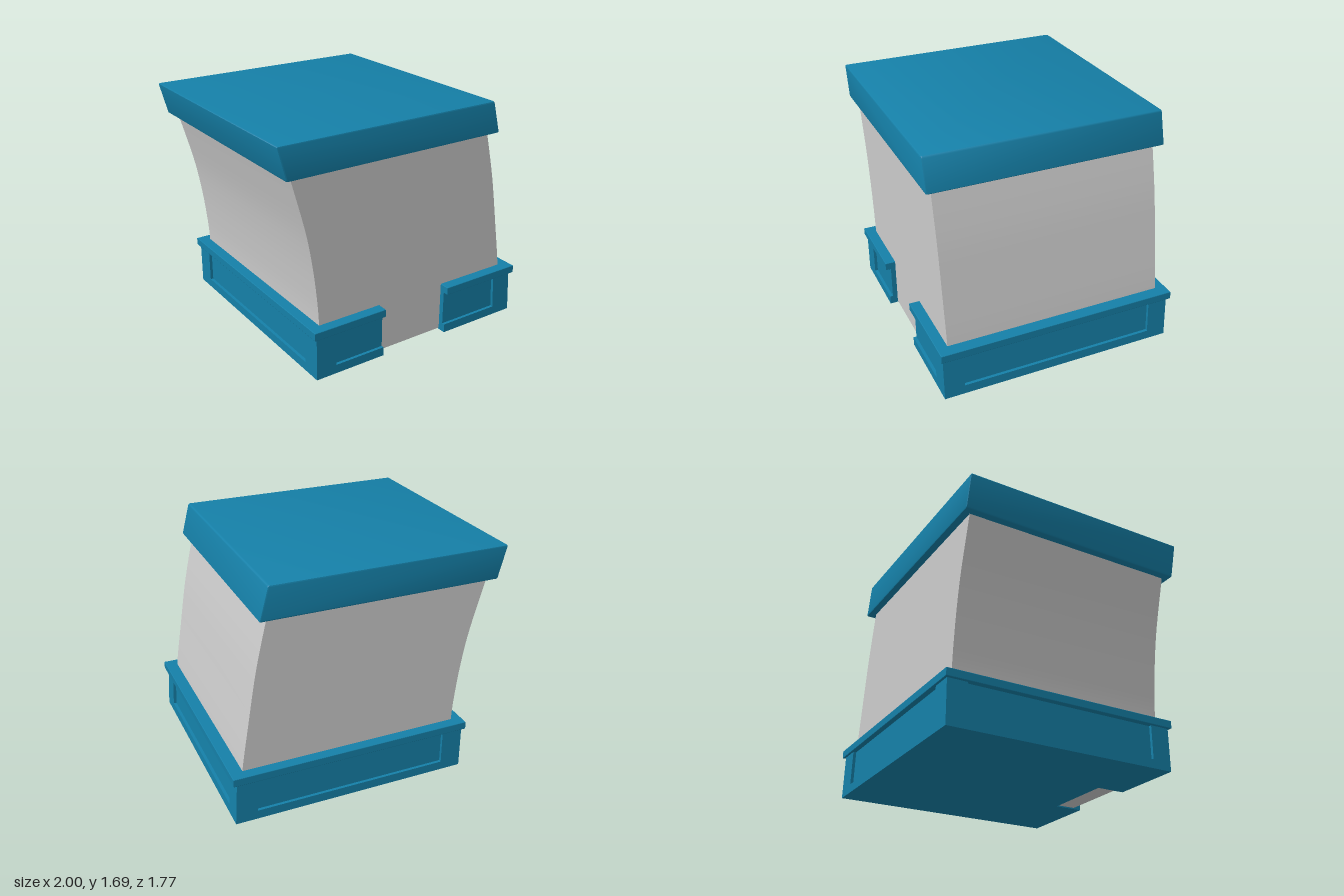
import * as THREE from 'three';
import { toCreasedNormals } from 'three/addons/utils/BufferGeometryUtils.js';

const blue = new THREE.MeshStandardMaterial({ color: 0x1580a8 });
const grey = new THREE.MeshStandardMaterial({ color: 0xcccccc });

// Plan of the base: a rectangle with a doorway notch in the front edge.
const NOTCH = { left: -0.195, right: 0.355, back: 0.65 };
function basePlan(x0, x1, z) {
  const pts = [
    [x0, -z], [x0, z], [NOTCH.left, z], [NOTCH.left, NOTCH.back],
    [NOTCH.right, NOTCH.back], [NOTCH.right, z], [x1, z], [x1, -z],
  ];
  return new THREE.Shape(pts.map(([x, zz]) => new THREE.Vector2(x, -zz)));
}

// Horizontal slab of the given plan between two heights.
function slab(shape, y0, y1, bevel = 0) {
  const geo = new THREE.ExtrudeGeometry(shape, {
    depth: y1 - y0 - 2 * bevel, bevelEnabled: bevel > 0,
    bevelThickness: bevel, bevelSize: bevel, bevelOffset: -bevel, bevelSegments: 2,
  });
  geo.rotateX(-Math.PI / 2);
  geo.translate(0, y0 + bevel, 0);
  return geo;
}

// The outer right wall of the base leans slightly inwards.
function lean(geo) {
  const p = geo.attributes.position;
  for (let i = 0; i < p.count; i++) {
    if (p.getX(i) > 0.5) p.setX(i, p.getX(i) - 0.06 * p.getY(i));
  }
  geo.computeVertexNormals();
  return geo;
}

// Polygon with small rounded corners.
function roundedShape(pts, r) {
  const v = pts.map(([x, y]) => new THREE.Vector2(x, y));
  const shape = new THREE.Shape();
  v.forEach((c, i) => {
    const prev = v[(i + v.length - 1) % v.length], next = v[(i + 1) % v.length];
    const a = prev.clone().sub(c).setLength(r).add(c);
    const b = next.clone().sub(c).setLength(r).add(c);
    if (i === 0) shape.moveTo(a.x, a.y); else shape.lineTo(a.x, a.y);
    shape.quadraticCurveTo(c.x, c.y, b.x, b.y);
  });
  shape.closePath();
  return shape;
}

export function createModel() {
  const model = new THREE.Group();
  const add = (name, geo, mat, parent = model) => {
    const mesh = new THREE.Mesh(geo, mat);
    mesh.name = name;
    parent.add(mesh);
    return mesh;
  };

  // Curved, leaning walls
  const curve = (pts) => new THREE.SplineCurve(pts.map(([x, y]) => new THREE.Vector2(x, y))).getPoints(20);
  const leftEdge = curve([[-0.68, 0.01], [-0.688, 0.38], [-0.705, 0.6], [-0.738, 0.85], [-0.788, 1.1], [-0.89, 1.47]]);
  const rightEdge = curve([[0.705, 1.47], [0.79, 1.1], [0.855, 0.72], [0.91, 0.375], [0.95, 0.01]]);
  const walls = new THREE.ExtrudeGeometry(new THREE.Shape([...leftEdge, ...rightEdge]), {
    depth: 1.616, bevelEnabled: false,
  });
  walls.translate(0, 0, -0.808);
  add('walls', toCreasedNormals(walls, 0.5), grey);

  // Slanted roof slab
  const roofShape = roundedShape([[-0.94, 1.455], [0.775, 1.455], [0.712, 1.692], [-1.002, 1.692]], 0.014);
  const roof = new THREE.ExtrudeGeometry(roofShape, {
    depth: 1.7, curveSegments: 3, bevelThickness: 0.01, bevelSize: 0.01, bevelOffset: -0.01, bevelSegments: 2,
  });
  roof.translate(0, 0, -0.85);
  add('roof', toCreasedNormals(roof, 0.6), blue);

  // Base: recessed panels, skirting, corner posts and ledge
  const base = new THREE.Group();
  base.name = 'base';
  model.add(base);
  const X0 = -0.745, X1 = 0.99, Z = 0.867, inset = 0.022;
  add('basePanels', lean(slab(basePlan(X0 + inset, X1 - inset, Z - inset), 0.01, 0.33)), blue, base);
  add('skirting', lean(slab(basePlan(X0, X1, Z), 0, 0.065)), blue, base);
  for (const [x, side] of [[X0 + 0.0775, 'right'], [X1 - 0.0775, 'left']]) {
    for (const [dir, end] of [[1, 'Front'], [-1, 'Back']]) {
      const post = new THREE.BoxGeometry(0.155, 0.325, 0.147);
      post.translate(x, 0.1635, dir * (Z - 0.0735));
      add(side + end + 'Post', lean(post), blue, base);
    }
  }
  add('ledge', slab(basePlan(-0.767, 0.998, 0.884), 0.315, 0.373, 0.004), blue, base);

  return model;
}
